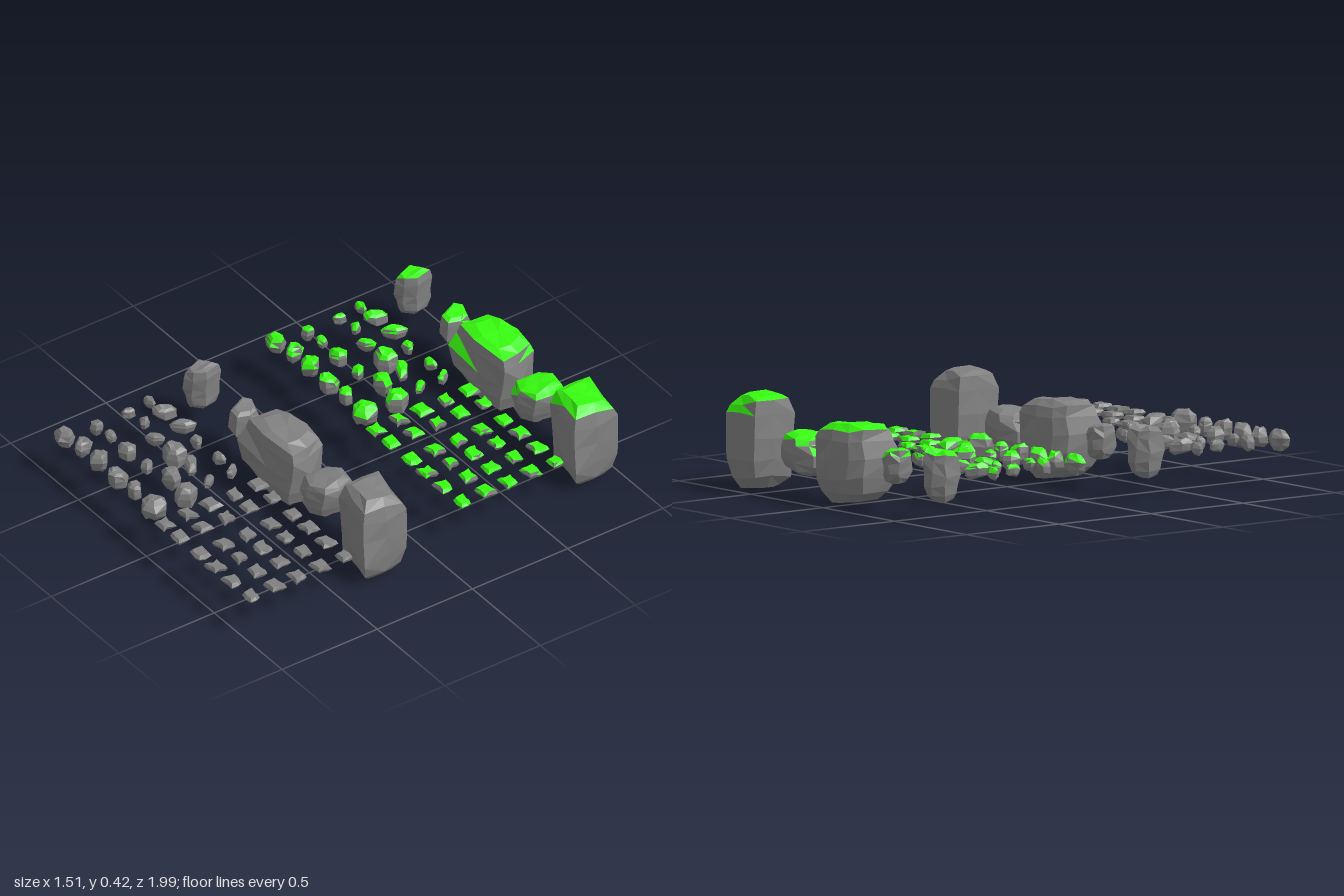
import * as THREE from 'three';

const stone = new THREE.MeshStandardMaterial({ color: 0x808080, flatShading: true });
const moss = new THREE.MeshStandardMaterial({ color: 0x37fb10, flatShading: true });

// Seeded random numbers, 0 to 1
function seeded(seed) {
  let s = seed * 7919 + 17;
  const next = () => {
    s = (s * 16807) % 2147483647;
    return s / 2147483647;
  };
  for (let i = 0; i < 5; i++) next();
  return next;
}

// Stone lofted through a plan outline [x, z] from bottom to top; profile is [height fraction, scale].
// rough: how uneven, slide: how far corners wander along the outline, tilt: slope along x
function rockTriangles({ plan, profile, bottom, top, rough, slide, tilt }, seed) {
  const rnd = seeded(seed);
  const n = plan.length;
  const xs = plan.map(p => p[0]), zs = plan.map(p => p[1]);
  const cx = (Math.min(...xs) + Math.max(...xs)) / 2;
  const cz = (Math.min(...zs) + Math.max(...zs)) / 2;
  const height = top - bottom;
  const rings = profile.map(([f, s]) => plan.map(([x, z], i) => {
    const [nx, nz] = plan[(i + 1) % n];
    const t = slide * rnd(), k = s * (1 - rough * rnd());
    const px = (x + (nx - x) * t - cx) * k;
    const pz = (z + (nz - z) * t - cz) * k;
    const dy = (rnd() - 0.5) * rough * height * 0.7 + tilt * px;
    return new THREE.Vector3(cx + px, bottom + f * height + dy, cz + pz);
  }));
  const tris = [];
  for (let r = 0; r + 1 < rings.length; r++) {
    for (let i = 0; i < n; i++) {
      const j = (i + 1) % n;
      const a = rings[r][i], b = rings[r][j], c = rings[r + 1][j], d = rings[r + 1][i];
      if (rnd() < 0.5) tris.push([a, d, c], [a, c, b]);
      else tris.push([a, d, b], [b, d, c]);
    }
  }
  // Caps
  const middle = ring => ring.reduce((m, p) => m.addScaledVector(p, 1 / n), new THREE.Vector3());
  const low = rings[0], high = rings[rings.length - 1];
  const lowMid = middle(low), highMid = middle(high);
  for (let i = 0; i < n; i++) {
    const j = (i + 1) % n;
    tris.push([lowMid, low[i], low[j]], [highMid, high[j], high[i]]);
  }
  return tris;
}

function meshOf(tris, material, name) {
  const geometry = new THREE.BufferGeometry().setFromPoints(tris.flat());
  geometry.computeVertexNormals();
  const mesh = new THREE.Mesh(geometry, material);
  mesh.name = name;
  return mesh;
}

// Large boulders share one rounded height profile
const boulderProfile = [[0, .58], [.1, .89], [.3, 1.02], [.55, 1.04], [.8, 1], [.92, .9], [1, .62]];
const boulders = [
  { name: 'pillarBoulder', bottom: .02, top: .42, rough: 0.08, slide: 0.2, tilt: -0.1,
    plan: [[.5, .135], [.61, .14], [.735, .145], [.74, .24], [.745, .38], [.61, .36], [.5, .35], [.495, .24]] },
  { name: 'largeBoulder', bottom: .035, top: .37, rough: 0.09, slide: 0.25, tilt: -0.06,
    plan: [[-.18, .2], [-.12, .155], [-.02, .135], [.11, .145], [.155, .24], [.165, .34], [0, .37], [-.2, .375]] },
  { name: 'mediumBoulder', bottom: .12, top: .29, rough: 0.1, slide: 0.3, tilt: 0.12,
    plan: [[.18, .2], [.24, .145], [.365, .155], [.395, .24], [.38, .325], [.295, .368], [.19, .34]] },
  { name: 'smallBoulder', bottom: .145, top: .29, rough: 0.16, slide: 0.3, tilt: -0.15,
    plan: [[-.39, .23], [-.37, .185], [-.285, .2], [-.26, .24], [-.28, .32], [-.35, .33]] },
  { name: 'tallBoulder', bottom: .11, top: .32, rough: 0.16, slide: 0.2, tilt: 0.1,
    plan: [[-.705, .23], [-.665, .185], [-.605, .175], [-.575, .267], [-.615, .318], [-.665, .35]] },
];

// Pebbles: x, z, length, width, angle in degrees
const pebbles = [
  [-.68, .5, .07, .04, 5], [-.58, .49, .11, .055, -60], [-.45, .485, .115, .05, -55],
  [-.325, .505, .065, .05, 25], [-.175, .495, .075, .045, 0], [-.065, .505, .075, .04, 50],
  [-.665, .62, .065, .04, -75], [-.57, .605, .05, .045, 0], [-.445, .635, .095, .045, -28],
  [-.305, .635, .125, .1, 0], [-.205, .62, .13, .05, 32], [-.065, .625, .075, .04, 50],
  [-.66, .79, .075, .055, 20], [-.575, .78, .06, .042, 0], [-.445, .785, .09, .075, -35],
  [-.305, .78, .075, .05, 25], [-.18, .745, .105, .09, 10], [-.04, .76, .11, .095, -80],
  [-.68, .945, .1, .08, 0], [-.58, .92, .085, .075, 70], [-.46, .92, .105, .085, 15],
  [-.31, .93, .09, .08, -40], [-.195, .92, .085, .07, 10], [-.045, .925, .115, .1, -60],
];
const pebbleProfile = [[0, .5], [.22, .92], [.6, 1.08], [.84, .9], [1, .55]];

function pebbleTriangles([x, z, length, width, degrees], seed) {
  const rnd = seeded(seed + 100);
  const turn = degrees * Math.PI / 180, n = 6;
  const plan = [];
  for (let i = 0; i < n; i++) {
    const t = (i + 0.5 * rnd()) / n * Math.PI * 2;
    const u = Math.cos(t) * length * 0.58, v = Math.sin(t) * width * 0.6;
    plan.push([x + u * Math.cos(turn) - v * Math.sin(turn), z + u * Math.sin(turn) + v * Math.cos(turn)]);
  }
  const half = width * 0.46 + 0.007;
  return rockTriangles({
    plan, profile: pebbleProfile, bottom: 0.206 - half, top: 0.206 + half,
    rough: 0.2, slide: 0.25, tilt: (rnd() - 0.5) * 0.4,
  }, seed);
}

// Flat paving chips with uneven, mostly pinched sides
const chipColumns = [.072, .185, .335, .45, .577, .705];
const chipRows = [.468, .59, .712, .833, .955];
const chipProfile = [[0, .78], [.5, 1.08], [1, .84]];
const chipCorners = [[-1, -1], [0, -1], [1, -1], [1, 0], [1, 1], [0, 1], [-1, 1], [-1, 0]];

function chipTriangles(x, z, seed) {
  const rnd = seeded(seed + 300);
  const plan = chipCorners.map(([u, v]) => {
    const k = u && v ? 0.75 + 0.35 * rnd() : 0.62 + 0.42 * rnd();
    return [x + u * 0.038 * k + (rnd() - 0.5) * 0.01, z + v * 0.034 * k + (rnd() - 0.5) * 0.01];
  });
  return rockTriangles({
    plan, profile: chipProfile, bottom: 0.187, top: 0.217,
    rough: 0.14, slide: 0, tilt: (rnd() - 0.5) * 0.15,
  }, seed);
}

function allStones() {
  const stones = boulders.map((b, i) => (
    { name: b.name, tris: rockTriangles({ ...b, profile: boulderProfile }, i + 1) }));
  pebbles.forEach((p, i) => stones.push({ name: 'pebble', tris: pebbleTriangles(p, 20 + i) }));
  chipRows.forEach((z, r) => chipColumns.forEach((x, c) =>
    stones.push({ name: 'flatChip', tris: chipTriangles(x, z, 60 + r * 6 + c) })));
  return stones;
}

// Moss lies on faces that look upward
function facesUp([a, b, c]) {
  const normal = new THREE.Vector3().subVectors(b, a).cross(new THREE.Vector3().subVectors(c, a)).normalize();
  return normal.y > 0.36;
}

export function createModel() {
  const model = new THREE.Group();
  model.name = 'rockCollection';
  const bareSet = new THREE.Group();
  bareSet.name = 'bareStones';
  const mossySet = new THREE.Group();
  mossySet.name = 'mossyStones';
  mossySet.position.set(-0.03, 0, -1.13);

  for (const { name, tris } of allStones()) {
    bareSet.add(meshOf(tris, stone, name));
    const mossy = new THREE.Group();
    mossy.name = name;
    mossy.add(
      meshOf(tris.filter(t => !facesUp(t)), stone, name + 'Stone'),
      meshOf(tris.filter(facesUp), moss, name + 'Moss'));
    mossySet.add(mossy);
  }
  model.add(bareSet, mossySet);
  return model;
}
